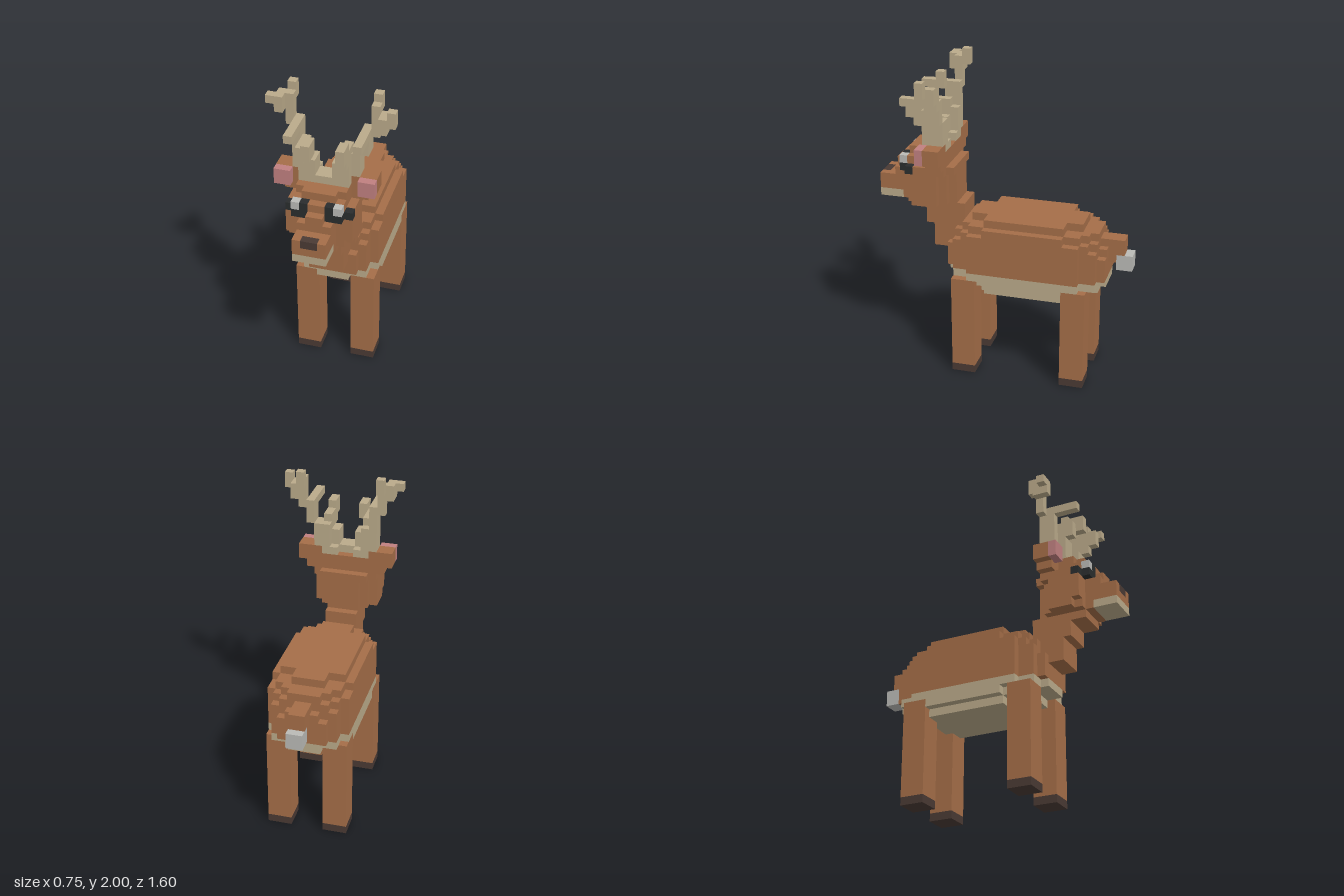
import * as THREE from 'three';

const V = 0.05; // edge of one cube

function material(name, color) {
  const m = new THREE.MeshStandardMaterial({ color });
  m.name = name;
  return m;
}

export function createModel() {
  const brown = material('brown fur', 0xa56e48);
  const tan = material('tan', 0xbaaa8a);
  const pink = material('pink', 0xc08080);
  const black = material('eye black', 0x2a2d2e);
  const dark = material('dark hoof', 0x4a3a34);
  const white = material('pale grey', 0xbabab6);

  const root = new THREE.Group();
  root.name = 'deer';
  root.position.x = -V / 2; // the body sits half a cube off the antler span

  function group(name) {
    const g = new THREE.Group();
    g.name = name;
    root.add(g);
    return g;
  }
  // Box between two corners counted in cubes
  function box(parent, name, mat, x0, x1, y0, y1, z0, z1) {
    const mesh = new THREE.Mesh(new THREE.BoxGeometry((x1 - x0) * V, (y1 - y0) * V, (z1 - z0) * V), mat);
    mesh.position.set((x0 + x1) / 2 * V, (y0 + y1) / 2 * V, (z0 + z1) / 2 * V);
    mesh.name = name;
    parent.add(mesh);
  }
  // Box centred in x with half width w
  const mid = (p, n, m, w, y0, y1, z0, z1) => box(p, n, m, -w, w, y0, y1, z0, z1);
  // Mirrored pair of boxes
  function pair(p, n, m, x0, x1, ...r) {
    box(p, n + 'Left', m, x0, x1, ...r);
    box(p, n + 'Right', m, -x1, -x0, ...r);
  }

  // Body in rounded layers: half width, y range, z range
  const body = group('body');
  for (const r of [
    [5, 14, 19, -10, 4], [4, 14, 18, -12, 6], [3, 14, 17, -13, 7], [2, 17, 18, -13, 7],
    [4, 18, 19, -11, 5], [3, 18, 19, -12, 6],
    [5, 19, 20, -8, 2], [4, 19, 20, -10, 4], [3, 19, 20, -11, 5], [2, 19, 20, -12, 6],
    [4, 20, 21, -8, 2], [2, 20, 21, -10, 4],
  ]) mid(body, 'torso', brown, ...r);
  for (const r of [
    [5, 13, 14, -10, 4], [4, 13, 14, -12, 6], [2, 13, 14, -13, 7],
    [5, 12, 13, -8, 2], [4, 12, 13, -10, 4], [2, 12, 13, -12, 5],
    [4, 11, 12, -8, 2], [2, 11, 12, -9, 3],
  ]) mid(body, 'belly', tan, ...r);

  // Legs with hooves
  const legs = group('legs');
  for (const [n, z] of [['front', 3], ['back', -11]]) {
    pair(legs, n + 'Leg', brown, 2, 5, 1, 13, z, z + 3);
    pair(legs, n + 'Hoof', dark, 2, 5, 0, 1, z, z + 3);
  }

  // Tail
  const tail = group('tail');
  mid(tail, 'tailBase', brown, 1, 17, 19, -15, -12);
  mid(tail, 'tailUnder', brown, 1, 16, 17, -14, -12);
  mid(tail, 'tailTip', white, 1, 15, 17, -16, -14);

  // Neck
  const neck = group('neck');
  mid(neck, 'neckLower', brown, 2, 16, 19, 5, 9);
  mid(neck, 'neckMiddle', brown, 2, 19, 21, 5, 10);
  mid(neck, 'neckUpper', brown, 2, 21, 22, 5, 12);

  // Head
  const head = group('head');
  for (const r of [
    [2, 22, 26, 6, 13], [3, 22, 26, 7, 12], [4, 22, 23, 8, 11], [4, 23, 26, 8, 12],
    [2, 25, 26, 6, 14], [1, 26, 27, 6, 14], [1, 27, 28, 7, 13],
    [4, 26, 27, 7, 11], [3, 26, 27, 6, 12], [3, 27, 28, 7, 12],
    [3, 28, 29, 7, 11], [2, 28, 29, 7, 12],
  ]) mid(head, 'skull', brown, ...r);

  // Snout, chin and nose
  mid(head, 'snout', brown, 2, 23, 25, 13, 15);
  mid(head, 'snoutFront', brown, 2, 23, 24, 15, 16);
  pair(head, 'snoutCorner', brown, 1, 2, 24, 25, 15, 16);
  mid(head, 'chin', tan, 2, 22, 23, 13, 16);
  mid(head, 'nose', dark, 1, 24, 25, 15, 16);

  // Eyes
  pair(head, 'eyeOuter', black, 3, 4, 26, 27, 11, 12);
  pair(head, 'eyeLower', black, 1, 3, 26, 27, 12, 13);
  pair(head, 'eyeUpper', black, 1, 2, 27, 28, 12, 13);
  pair(head, 'eyeGlint', white, 2, 3, 27, 28, 12, 13);

  // Ears
  pair(head, 'earRoot', brown, 3, 5, 27, 28, 7, 9);
  pair(head, 'ear', brown, 3, 6, 28, 30, 7, 9);
  pair(head, 'innerEar', pink, 4, 6, 28, 30, 9, 10);

  // Antlers
  const antlers = group('antlers');
  mid(antlers, 'antlerBridge', tan, 3, 29, 30, 8, 10);
  pair(antlers, 'antlerFoot', tan, 1, 3, 29, 30, 7, 8);
  pair(antlers, 'antlerBase', tan, 1, 3, 30, 32, 8, 10);
  pair(antlers, 'antlerStem', tan, 2, 4, 30, 33, 7, 9);
  pair(antlers, 'innerProng', tan, 2, 3, 32, 34, 8, 11);
  // The right antler is set one cube further in above its stem
  for (const [side, s, o] of [['left', 1, 1], ['right', -1, 0]]) {
    const part = (n, x0, x1, ...r) =>
      box(antlers, side + n, tan, Math.min(s * x0, s * x1), Math.max(s * x0, s * x1), ...r);
    part('ProngTip', 1 + o, 2 + o, 33, 35, 10, 12);
    part('Riser', 3 + o, 4 + o, 33, 36, 7, 9);
    part('ForwardProng', 3 + o, 4 + o, 35, 36, 7, 12);
    part('UpperStem', 4 + o, 5 + o, 35, 39, 7, 8);
    part('Tip', 4 + o, 5 + o, 38, 40, 6, 7);
    part('Branch', 5 + o, 6 + o, 37 - o, 39 - o, 7, 9);
    part('BranchTip', 6 + o, 7 + o, 38 - o, 39, 8, 9);
  }

  return root;
}
